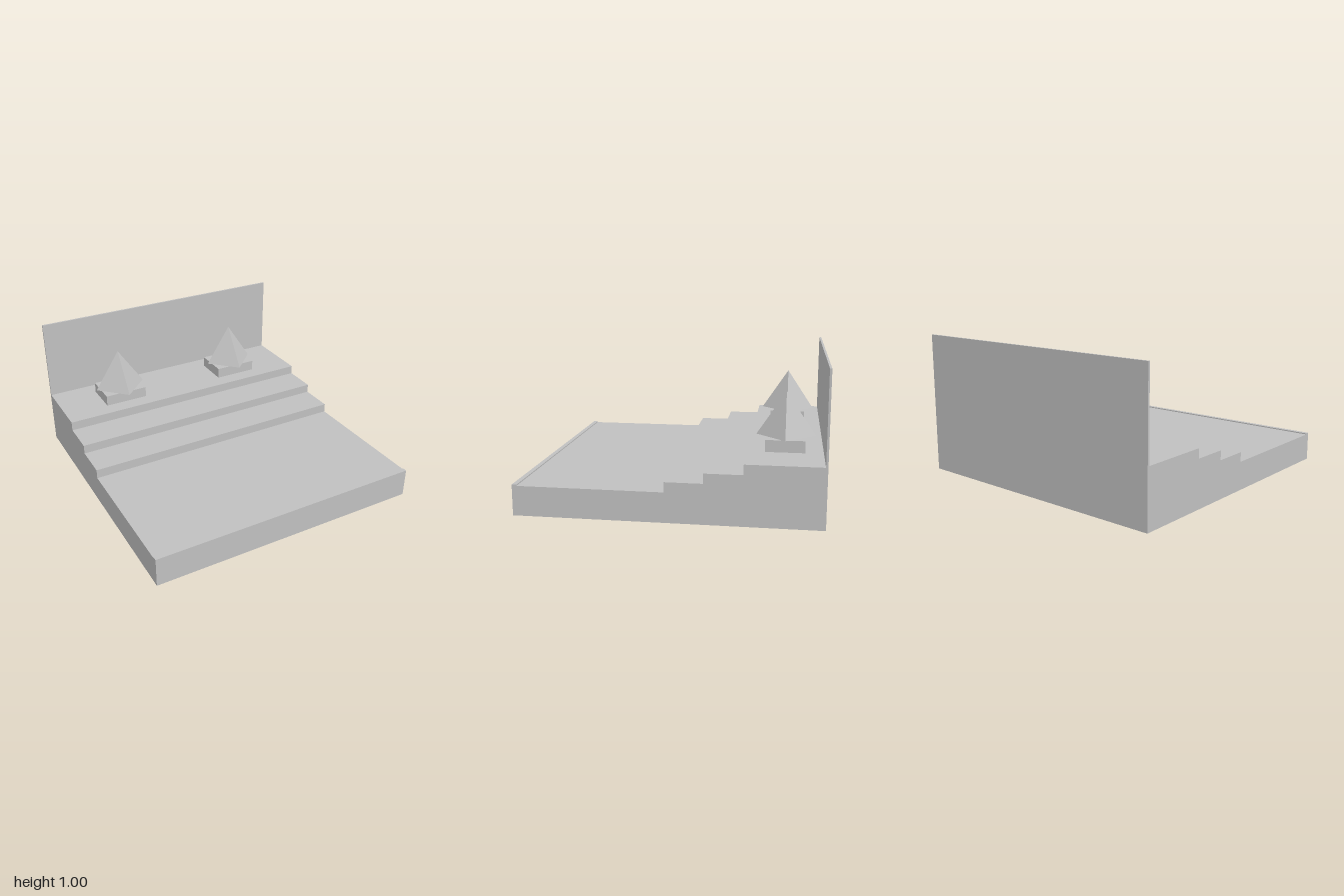
import * as THREE from 'three';

const HALF = 0.99; // half width

export function createModel() {
  const model = new THREE.Group();
  const grey = new THREE.MeshStandardMaterial({ color: 0xc0c0c0, flatShading: true, side: THREE.DoubleSide });
  grey.name = 'light grey';

  const add = (name, geometry, x = 0, y = 0, z = 0) => {
    const mesh = new THREE.Mesh(geometry, grey);
    mesh.name = name;
    mesh.position.set(x, y, z);
    model.add(mesh);
    return mesh;
  };

  // Stage outline as (z, y), front to back: lip, floor, three steps, back wall; open underneath
  const profile = [
    [1, 0], [1, 0.208], [0.968, 0.208], [0.968, 0.2],
    [0.005, 0.2], [0.005, 0.267], [-0.243, 0.267], [-0.243, 0.333],
    [-0.492, 0.333], [-0.492, 0.4], [-0.986, 0.4], [-0.986, 1],
    [-1, 1], [-1, 0],
  ];

  // Shell swept across the width, one flat strip per outline segment
  const positions = [];
  for (let i = 0; i < profile.length - 1; i++) {
    const [z0, y0] = profile[i];
    const [z1, y1] = profile[i + 1];
    positions.push(
      -HALF, y0, z0, HALF, y0, z0, HALF, y1, z1,
      -HALF, y0, z0, HALF, y1, z1, -HALF, y1, z1,
    );
  }
  const shell = new THREE.BufferGeometry();
  shell.setAttribute('position', new THREE.Float32BufferAttribute(positions, 3));
  shell.computeVertexNormals();
  add('steppedShell', shell);

  // Side panels cut to the same outline
  const outline = new THREE.Shape(profile.map(([z, y]) => new THREE.Vector2(-z, y)));
  for (const [name, x] of [['leftSide', HALF], ['rightSide', -HALF]]) {
    add(name, new THREE.ShapeGeometry(outline).rotateY(Math.PI / 2), x);
  }

  // Two pyramids on plinths, corners pointing along the axes
  for (const [side, x] of [['left', 0.495], ['right', -0.495]]) {
    add(side + 'Plinth', new THREE.BoxGeometry(0.328, 0.08, 0.26), x, 0.44, -0.737);
    add(side + 'Pyramid', new THREE.ConeGeometry(0.196, 0.295, 4), x, 0.6305, -0.737);
  }
  return model;
}
